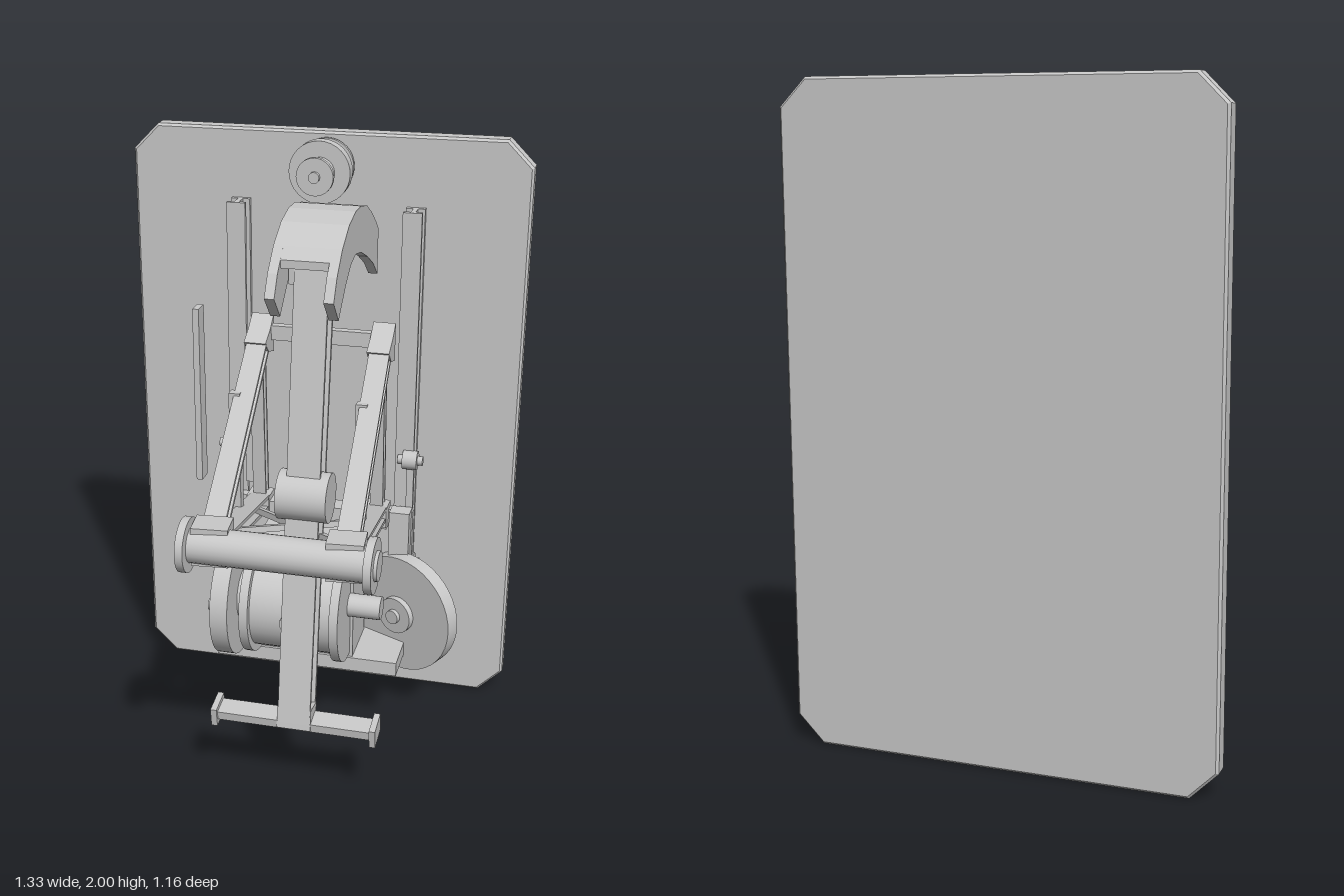
import * as THREE from 'three';

export function createModel() {
  const root = new THREE.Group();
  const steel = new THREE.MeshStandardMaterial({ color: 0xc8c8c8 });
  steel.name = 'light grey steel';

  const add = (name, geo, x = 0, y = 0, z = 0) => {
    const m = new THREE.Mesh(geo, steel);
    m.name = name;
    m.position.set(x, y, z);
    root.add(m);
    return m;
  };
  // box given by its limits on each axis
  const box = (name, x0, x1, y0, y1, z0, z1) =>
    add(name, new THREE.BoxGeometry(x1 - x0, y1 - y0, z1 - z0), (x0 + x1) / 2, (y0 + y1) / 2, (z0 + z1) / 2);
  // cylinder lying along x
  const rod = (name, x0, x1, y, z, r, n = 32) =>
    add(name, new THREE.CylinderGeometry(r, r, x1 - x0, n).rotateZ(Math.PI / 2), (x0 + x1) / 2, y, z);
  // shape given in (z, y), extruded along x
  const side = (name, shape, x0, x1) =>
    add(name, new THREE.ExtrudeGeometry(shape, { depth: x1 - x0, bevelEnabled: false, curveSegments: 16 })
      .rotateY(-Math.PI / 2), x1, 0, 0);
  const poly = pts => new THREE.Shape(pts.map(p => new THREE.Vector2(p[0], p[1])));
  const iShape = (w, h, t) => {
    const a = w / 2, b = h / 2, c = t / 2;
    return poly([[-a, -b], [a, -b], [a, t - b], [c, t - b], [c, b - t], [a, b - t],
      [a, b], [-a, b], [-a, b - t], [-c, b - t], [-c, t - b], [-a, t - b]]);
  };
  const rect = (w, h) => poly([[-w / 2, -h / 2], [w / 2, -h / 2], [w / 2, h / 2], [-w / 2, h / 2]]);
  // section swept from p to q, its width kept as close to x as possible
  const beam = (name, p, q, section) => {
    const a = new THREE.Vector3(...p), d = new THREE.Vector3(...q).sub(a);
    const len = d.length();
    d.normalize();
    const y = d.clone().cross(new THREE.Vector3(1, 0, 0)).normalize();
    const x = y.clone().cross(d);
    const geo = new THREE.ExtrudeGeometry(section, { depth: len, bevelEnabled: false });
    geo.applyMatrix4(new THREE.Matrix4().makeBasis(x, y, d).setPosition(a));
    return add(name, geo);
  };

  // back plate with clipped corners
  const W = 0.655, H = 0.992, C = 0.08;
  add('backPlate', new THREE.ExtrudeGeometry(
    poly([[-W + C, -H], [W - C, -H], [W, -H + C], [W, H - C], [W - C, H], [-W + C, H], [-W, H - C], [-W, -H + C]]),
    { depth: 0.051, bevelThickness: 0.008, bevelSize: 0.008, bevelSegments: 1 }), 0, 1, -0.565);

  // rails, rollers and their links
  for (const s of [-1, 1]) {
    beam('rail', [s * 0.293, 0.17, -0.468], [s * 0.293, 1.77, -0.468], iShape(0.063, 0.076, 0.016));
    for (const y of [0.535, 0.92]) {
      rod('roller', s * 0.315 - 0.025, s * 0.315 + 0.025, y, -0.425, 0.033, 20);
      rod('rollerAxle', s * 0.315 - 0.043, s * 0.315 + 0.043, y, -0.425, 0.016, 12);
    }
    box('rollerLink', s * 0.317 - 0.012, s * 0.317 + 0.012, 0.53, 0.92, -0.435, -0.415);
  }
  box('sideStrip', -0.447, -0.425, 0.77, 1.4, -0.475, -0.415);

  // stepped pulley near the top
  const pulley = [[0, -0.506], [0.068, -0.506], [0.068, -0.49], [0.09, -0.49], [0.09, -0.476], [0.068, -0.476],
    [0.068, -0.415], [0.1, -0.415], [0.1, -0.375], [0.05, -0.375], [0.05, -0.325], [0.06, -0.325], [0.06, -0.308], [0, -0.308]];
  add('topPulley', new THREE.LatheGeometry(pulley.flatMap(p => {
    const v = new THREE.Vector2(...p);
    return [v, v.clone()];
  }), 32).rotateX(Math.PI / 2), 0, 1.895, 0);
  add('topPulleyBolt', new THREE.CylinderGeometry(0.018, 0.018, 0.02, 12).rotateX(Math.PI / 2), 0, 1.895, -0.305);

  // carriage
  box('carriagePlate', -0.3, 0.335, 0.23, 0.74, -0.43, -0.395);
  box('carriageShelf', -0.3, 0.335, 0.23, 0.28, -0.41, -0.15);
  box('carriagePost', 0.26, 0.33, 0.28, 0.75, -0.41, -0.35);
  box('carriagePost', -0.3, -0.27, 0.28, 0.74, -0.41, -0.35);
  box('carriageBeam', -0.25, 0.25, 0.68, 0.74, -0.42, -0.36);

  // motor with flywheel and shaft
  box('motorBlock', -0.16, 0.18, 0.28, 0.69, -0.36, -0.16);
  rod('motorBody', -0.16, 0.16, 0.49, -0.145, 0.17, 36);
  for (const x of [-0.165, 0.14]) rod('motorRim', x, x + 0.03, 0.49, -0.145, 0.195, 36);
  rod('motorShaft', -0.27, 0.28, 0.49, -0.145, 0.04, 24);
  rod('flywheel', -0.26, -0.2, 0.49, -0.145, 0.212, 48);
  rod('flywheelHub', -0.28, -0.18, 0.49, -0.145, 0.09, 32);
  rod('crankPin', -0.29, -0.25, 0.49, -0.035, 0.02, 12);
  add('motorCap', new THREE.CylinderGeometry(0.03, 0.03, 0.02, 20).rotateX(Math.PI / 2), 0, 0.485, 0.025);

  // slanted wheel on the side
  const wheel = new THREE.Group();
  wheel.name = 'slantedWheel';
  wheel.position.set(0.32, 0.385, -0.335);
  wheel.rotation.y = -0.45;
  for (const [name, r, len, z] of [['wheelDisc', 0.212, 0.055, 0], ['wheelHub', 0.065, 0.1, 0], ['wheelBoss', 0.09, 0.04, -0.035], ['wheelBolt', 0.025, 0.13, 0]]) {
    const m = new THREE.Mesh(new THREE.CylinderGeometry(r, r, len, 40).rotateX(Math.PI / 2), steel);
    m.name = name;
    m.position.z = z;
    wheel.add(m);
  }
  root.add(wheel);

  // triangular frame: both sides lean towards +x at the front
  const arm = iShape(0.068, 0.052, 0.012), thin = rect(0.036, 0.034);
  for (const [b, f] of [[-0.205, -0.115], [0.21, 0.285]]) {
    beam('upperArm', [b, 1.325, -0.4], [f, 1.0, 0.47], arm);
    beam('lowerArm', [b, 0.725, -0.4], [f, 0.97, 0.47], arm);
    beam('rearStrut', [b, 0.72, -0.4], [b, 1.32, -0.365], iShape(0.045, 0.045, 0.01));
    beam('middleStrut', [b, 0.8, -0.095], [b, 1.24, -0.095], thin);
    side('cornerBracket', poly([[-0.43, 1.27], [-0.36, 1.29], [-0.32, 1.33], [-0.38, 1.36], [-0.43, 1.4]]), b - 0.035, b + 0.04);
    box('lowerBracket', b - 0.04, b + 0.04, 0.69, 0.76, -0.43, -0.35);
    const saddle = box('saddle', f - 0.055, f + 0.055, 0.93, 1.05, 0.425, 0.52);
    saddle.rotation.y = 0.09;
  }
  box('rearTie', -0.2, 0.2, 1.32, 1.37, -0.425, -0.395);
  box('guideStrip', -0.26, -0.235, 0.79, 1.3, -0.43, -0.4);
  beam('crossBrace', [-0.17, 0.77, -0.22], [0.25, 0.905, 0.25], rect(0.022, 0.02));
  beam('crossBrace', [0.2, 0.77, -0.22], [-0.12, 0.905, 0.22], rect(0.022, 0.02));

  // front tube and end discs
  rod('frontTube', -0.18, 0.36, 0.985, 0.495, 0.055, 24);
  for (const s of [-1, 1]) {
    const x = 0.09 + s * 0.275;
    rod('tubeFlange', x - 0.012, x + 0.012, 0.985, 0.5, 0.083, 32);
    rod('tubeCap', x + s * 0.012 - 0.01, x + s * 0.012 + 0.01, 0.985, 0.5, 0.045, 24);
  }

  // swinging arm, pivot and foot bar
  const cx = 0.083;
  beam('swingArm', [cx, 0.27, 0.245], [cx, 1.73, 0.026], iShape(0.105, 0.086, 0.014));
  rod('armPivot', cx - 0.08, cx + 0.08, 1.01, 0.137, 0.079, 32);
  beam('footMount', [cx, 0.25, 0.25], [cx, 0.32, 0.24], rect(0.11, 0.08));
  const foot = box('footBar', -0.18, 0.34, 0.255, 0.285, 0.215, 0.285);
  foot.rotation.x = 0.15;
  for (const x of [-0.19, 0.33]) box('footBarEnd', x, x + 0.02, 0.235, 0.3, 0.205, 0.295).rotation.x = 0.15;

  // curved head: two side cheeks and an arched cover
  const outer = [[0.23, 1.66], [0.19, 1.725], [0.12, 1.79], [0.03, 1.838], [-0.06, 1.857], [-0.14, 1.855], [-0.23, 1.835],
    [-0.31, 1.795], [-0.38, 1.75], [-0.425, 1.715]];
  const inner = [[-0.425, 1.565], [-0.35, 1.62], [-0.25, 1.67], [-0.15, 1.71], [-0.07, 1.725], [0.0, 1.71],
    [0.07, 1.665], [0.16, 1.588]];
  for (const x of [-0.02, 0.155]) side('headCheek', poly([...outer, ...inner]), x, x + 0.03);
  const top = [[0.155, 1.757], ...outer.slice(2)];
  side('headCover', poly([...top, ...top.map(p => [p[0], p[1] - 0.025]).reverse()]), 0.01, 0.155);
  box('headBracket', 0.012, 0.153, 1.66, 1.74, 0.0, 0.07);

  return root;
}
